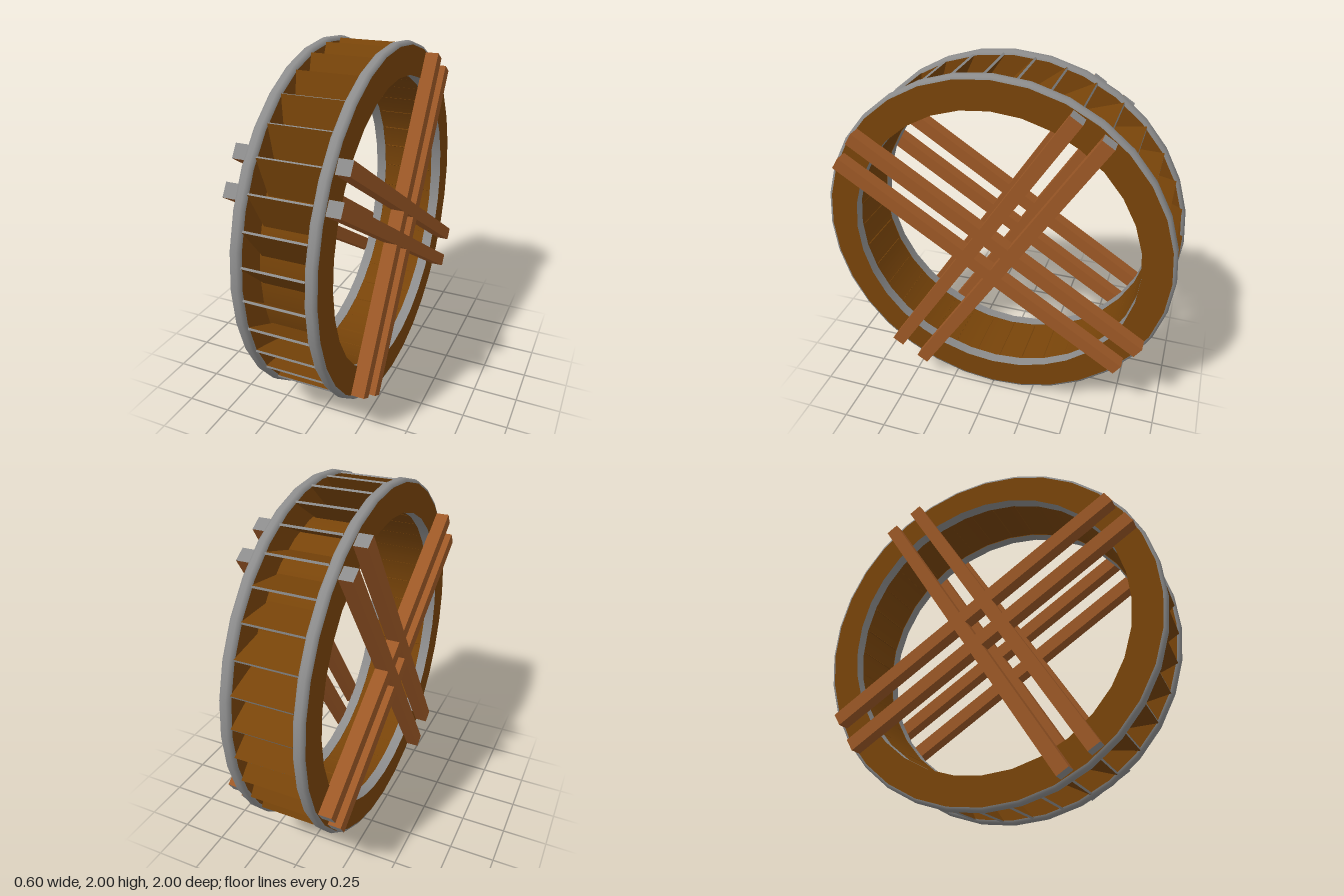
import * as THREE from 'three';

const SIDES = 32, FINS = 36;

export function createModel() {
  const model = new THREE.Group();
  model.name = 'waterWheel';
  const wheelWood = new THREE.MeshStandardMaterial({ color: 0x784409, side: THREE.DoubleSide });
  const beamWood = new THREE.MeshStandardMaterial({ color: 0x9c5826 });
  const grey = new THREE.MeshStandardMaterial({ color: 0x8c8c8c, side: THREE.DoubleSide });
  wheelWood.name = 'wheelWood';
  beamWood.name = 'beamWood';
  grey.name = 'greyEdge';

  const wheel = new THREE.Group();
  wheel.name = 'wheel';
  wheel.position.y = 1;
  model.add(wheel);

  // Surface of revolution about the x axle; points are [radius, x]
  const revolve = (name, points, material, parent) => {
    const geometry = new THREE.LatheGeometry(points.map(p => new THREE.Vector2(...p)), SIDES);
    geometry.rotateZ(-Math.PI / 2);
    const mesh = new THREE.Mesh(geometry, material);
    mesh.name = name;
    parent.add(mesh);
  };

  // Drum closing the inside of the buckets
  revolve('drum', [[0.825, -0.17], [0.825, 0.17]], wheelWood, wheel);

  // Side rings: wooden faces with grey outer and inner edges
  for (const side of [-1, 1]) {
    const ring = new THREE.Group();
    ring.name = side > 0 ? 'leftRing' : 'rightRing';
    ring.position.x = side * 0.194;
    wheel.add(ring);
    for (const x of [-0.031, 0.031]) {
      revolve('ringFace', [[0.822, x], [0.98, x]], wheelWood, ring);
    }
    revolve('outerEdge', [[0.98, -0.031], [0.993, -0.026], [1, -0.012], [1, 0.012], [0.993, 0.026], [0.98, 0.031]], grey, ring);
    revolve('innerEdge', [[0.822, -0.031], [0.822, 0.031]], grey, ring);
  }

  // Slanted bucket boards, narrower at the drum, with a grey outer edge
  const tip = new THREE.Vector2(0.985, 0);
  const lean = THREE.MathUtils.degToRad(9);
  const root = new THREE.Vector2(0.825 * Math.cos(lean), -0.825 * Math.sin(lean));
  const length = tip.distanceTo(root);
  const board = new THREE.BoxGeometry(0.33, 0.012, length);
  const pos = board.attributes.position;
  for (let i = 0; i < pos.count; i++) {
    if (pos.getZ(i) < 0) pos.setX(i, pos.getX(i) * 0.89);
  }
  board.computeVertexNormals();
  board.rotateX(-Math.atan2(tip.y - root.y, tip.x - root.x));
  board.translate(0, (tip.y + root.y) / 2, (tip.x + root.x) / 2);
  const boardMaterials = [wheelWood, wheelWood, wheelWood, wheelWood, grey, wheelWood];
  for (let i = 0; i < FINS; i++) {
    const fin = new THREE.Mesh(board, boardMaterials);
    fin.name = 'bucketBoard';
    fin.rotation.x = -THREE.MathUtils.degToRad(7.1 + i * 360 / FINS);
    wheel.add(fin);
  }

  // Crossed pairs of beams on both sides, with grey cut ends
  const beamGeometry = new THREE.BoxGeometry(0.077, 0.075, 1.93);
  const beamMaterials = [beamWood, beamWood, beamWood, beamWood, grey, grey];
  for (const side of [-1, 1]) {
    for (const turn of [32.7, 122.7]) {
      const pair = new THREE.Group();
      pair.name = 'beamPair';
      pair.position.x = side * 0.2605;
      pair.rotation.x = -THREE.MathUtils.degToRad(turn);
      wheel.add(pair);
      for (const y of [-0.093, 0.093]) {
        const beam = new THREE.Mesh(beamGeometry, beamMaterials);
        beam.name = 'beam';
        beam.position.y = y;
        pair.add(beam);
      }
    }
  }
  return model;
}
